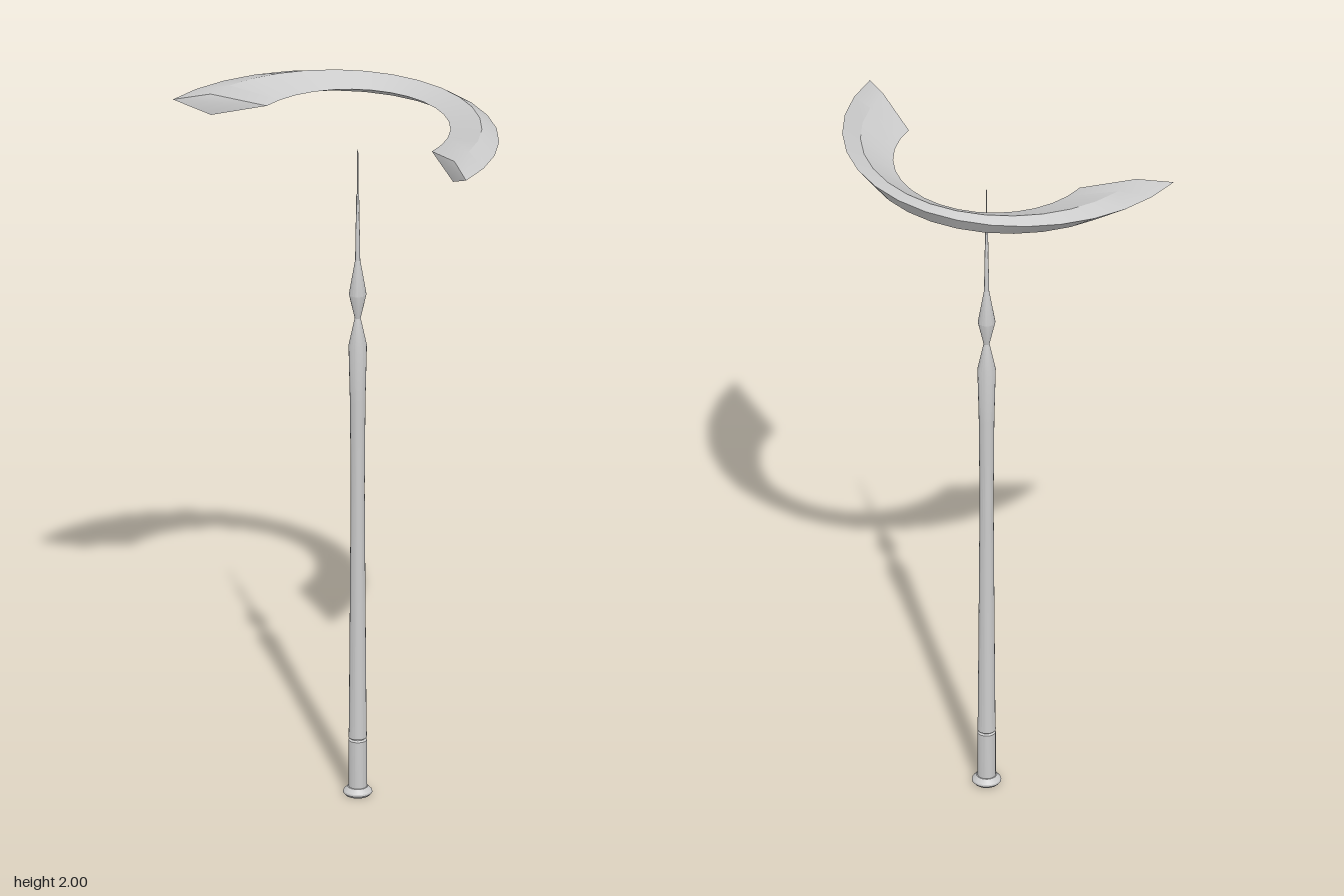
import * as THREE from 'three';
import { toCreasedNormals } from 'three/addons/utils/BufferGeometryUtils.js';

const AXIS_Z = 0.064;
const material = new THREE.MeshStandardMaterial({ color: 0xcccccc });

// Surface of revolution about the tower axis, from [radius, height] pairs
function turned(name, profile) {
  const points = profile.map(([r, y]) => new THREE.Vector2(r, y));
  const geometry = toCreasedNormals(new THREE.LatheGeometry(points, 20), 0.45);
  const mesh = new THREE.Mesh(geometry, material);
  mesh.name = name;
  mesh.position.z = AXIS_Z;
  return mesh;
}

// Half ring whose diamond section widens from the back to the two tips
function crescent() {
  // Each rail is a half circle: radius, centre z, height
  const rails = [
    [0.487, 0.243, 1.985], // outer rim
    [0.405, 0.182, 2.0], // top ridge
    [0.274, 0.103, 1.97], // inner rim
    [0.402, 0.184, 1.94], // bottom ridge
  ];
  const segments = 16, n = rails.length;
  const positions = [], index = [];
  for (let i = 0; i <= segments; i++) {
    const a = (i / segments - 0.5) * Math.PI;
    for (const [r, cz, y] of rails) positions.push(r * Math.sin(a), y, cz - r * Math.cos(a));
  }
  for (let i = 0; i < segments; i++) {
    for (let j = 0; j < n; j++) {
      const a = i * n + j, b = i * n + (j + 1) % n;
      index.push(a, b, a + n, b, b + n, a + n);
    }
  }
  // Tip faces
  const e = segments * n;
  index.push(0, 2, 1, 0, 3, 2, e, e + 1, e + 2, e, e + 2, e + 3);
  const geometry = new THREE.BufferGeometry();
  geometry.setAttribute('position', new THREE.Float32BufferAttribute(positions, 3));
  geometry.setIndex(index);
  const mesh = new THREE.Mesh(toCreasedNormals(geometry, 0.5), material);
  mesh.name = 'crescent';
  return mesh;
}

export function createModel() {
  const model = new THREE.Group();
  model.name = 'crescentTower';
  model.add(
    turned('foot', [[0, 0], [0.034, 0], [0.04, 0.007], [0.039, 0.012], [0.028, 0.024], [0, 0.024]]),
    turned('pedestal', [[0, 0.02], [0.025, 0.02], [0.025, 0.16], [0.02, 0.164], [0, 0.164]]),
    turned('collar', [[0.02, 0.16], [0.02, 0.172]]),
    turned('shaft', [[0, 0.168], [0.025, 0.168], [0.024, 0.2], [0.021, 0.6], [0.019, 0.9], [0.021, 1.15],
      [0.025, 1.32], [0.008, 1.4]]),
    turned('bulb', [[0.008, 1.4], [0.024, 1.47], [0.007, 1.57]]),
    turned('spire', [[0.007, 1.57], [0.004, 1.76], [0.002, 1.765], [0.0015, 1.89], [0, 1.895]]),
    crescent(),
  );
  return model;
}
